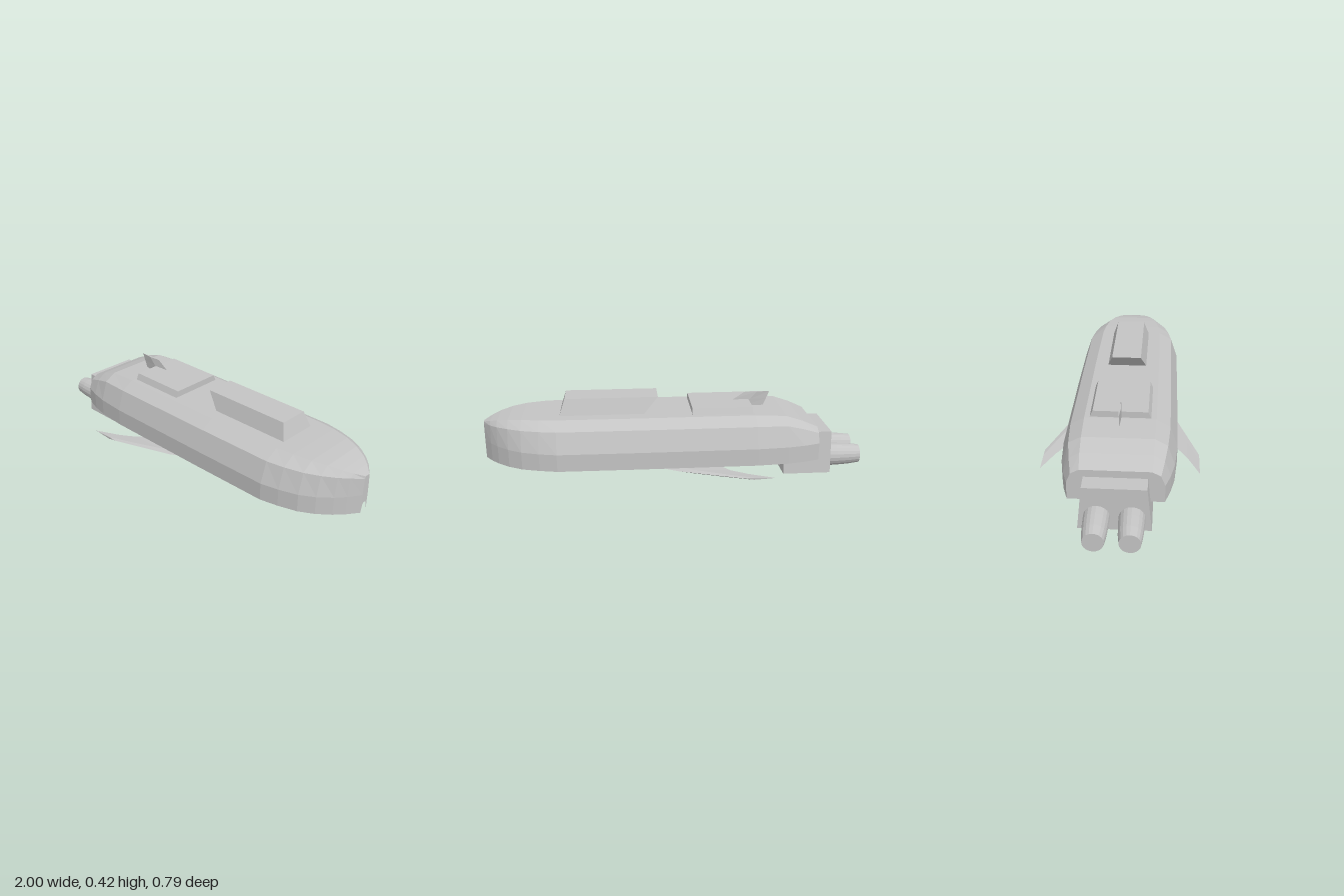
import * as THREE from 'three';

const grey = new THREE.MeshStandardMaterial({ color: 0xc4c4c4, side: THREE.DoubleSide, flatShading: true });
grey.name = 'hull grey';

function addMesh(group, name, geometry) {
  const mesh = new THREE.Mesh(geometry, grey);
  mesh.name = name;
  group.add(mesh);
  return mesh;
}

// Skins a row of equal-length sections; a solid joins each ring and caps both ends
function loft(sections, solid) {
  const n = sections[0].length, last = (sections.length - 1) * n, index = [];
  for (let i = 0; i < sections.length - 1; i++) {
    for (let j = 0; j < (solid ? n : n - 1); j++) {
      const a = i * n + j, b = i * n + (j + 1) % n, c = a + n, d = b + n;
      index.push(a, c, b, b, c, d);
    }
  }
  for (let j = 1; solid && j < n - 1; j++) index.push(0, j, j + 1, last, last + j + 1, last + j);
  const geometry = new THREE.BufferGeometry();
  geometry.setAttribute('position', new THREE.Float32BufferAttribute(sections.flat(2), 3));
  geometry.setIndex(index);
  const flat = geometry.toNonIndexed();
  flat.computeVertexNormals();
  return flat;
}

// Block between two rectangles: [xBack, xFront, halfZ, y]
function taperedBlock(lower, upper) {
  const ring = ([x0, x1, z, y]) => [[x0, y, -z], [x1, y, -z], [x1, y, z], [x0, y, z]];
  return loft([ring(lower), ring(upper)], true);
}

// Hull section: lower edge, knee, shoulder, roof edge, then mirrored
const kneeY = 0.19;
function hullSection([x, w, m, t, yShoulder, yTop, yBottom]) {
  const half = [[w, yBottom], [w, kneeY], [m, yShoulder], [t, yTop]];
  return [
    ...half.map(([z, y]) => [x, y, z]),
    ...half.slice().reverse().map(([z, y]) => [x, y, -z]),
  ];
}

export function createModel() {
  const model = new THREE.Group();
  model.name = 'spaceship';

  // Hull skin, narrowing to the nose; its walls form a skirt below the floor
  const stations = [
    [-0.74, 0.225, 0.205, 0.165, 0.24, 0.262, 0.1],
    [-0.66, 0.25, 0.22, 0.17, 0.268, 0.298, 0.1],
    [-0.57, 0.268, 0.233, 0.172, 0.293, 0.328, 0.1],
    [-0.41, 0.28, 0.243, 0.175, 0.297, 0.337, 0.1],
    [0.2, 0.28, 0.243, 0.175, 0.297, 0.337, 0.1],
    [0.61, 0.276, 0.24, 0.17, 0.297, 0.337, 0.1],
    [0.7, 0.256, 0.224, 0.16, 0.297, 0.337, 0.1],
    [0.79, 0.225, 0.197, 0.142, 0.296, 0.334, 0.098],
    [0.86, 0.183, 0.16, 0.115, 0.294, 0.328, 0.097],
    [0.92, 0.13, 0.115, 0.085, 0.29, 0.316, 0.095],
    [0.96, 0.083, 0.074, 0.055, 0.286, 0.304, 0.093],
    [1.0, 0.022, 0.018, 0.014, 0.275, 0.288, 0.09],
  ];
  addMesh(model, 'hull', loft(stations.map(hullSection), false));
  addMesh(model, 'floor', loft(stations.map(([x, w]) => [[x, kneeY, -w], [x, kneeY, w]]), false));

  // Flat end plates; the nose plate has a small arch cut from its foot
  const endPlate = (name, station, arch) => {
    const points = [...hullSection(station).map(([, y, z]) => [-z, y]), ...arch];
    const shape = new THREE.Shape(points.map(([x, y]) => new THREE.Vector2(x, y)));
    const plate = addMesh(model, name, new THREE.ShapeGeometry(shape));
    plate.rotation.y = Math.PI / 2;
    plate.position.x = station[0];
  };
  endPlate('sternPlate', stations[0], []);
  endPlate('nosePlate', stations[stations.length - 1], [[0.014, 0.132], [0.009, 0.14], [-0.009, 0.14], [-0.014, 0.132]]);

  // Superstructure and engine housing
  addMesh(model, 'bridge', taperedBlock([0.165, 0.6, 0.105, 0.335], [0.09, 0.572, 0.077, 0.419]));
  addMesh(model, 'roofPod', taperedBlock([-0.4, -0.085, 0.15, 0.335], [-0.4, -0.085, 0.135, 0.37]));
  addMesh(model, 'engineHousing', taperedBlock([-0.825, -0.572, 0.17, 0], [-0.825, -0.572, 0.147, 0.225]));

  // Twin engines
  for (const side of [1, -1]) {
    const profile = [[0, 0], [0.061, 0], [0.06, 0.05], [0.056, 0.12], [0.049, 0.175], [0, 0.175]];
    const engine = addMesh(model, side > 0 ? 'leftEngine' : 'rightEngine',
      new THREE.LatheGeometry(profile.map(([r, y]) => new THREE.Vector2(r, y)), 20));
    engine.rotation.z = Math.PI / 2;
    engine.position.set(-0.825, 0.069, side * 0.08);
  }

  // Swept wings with a ridge above and a keel below: [z, xTrailing, xLeading]
  const spans = [
    [0.085, -0.17, 0.28], [0.15, -0.185, 0.22], [0.21, -0.21, 0.135],
    [0.283, -0.265, 0], [0.335, -0.35, -0.15], [0.393, -0.48, -0.32],
  ];
  for (const side of [1, -1]) {
    const sections = spans.map(([z, x0, x1]) => {
      const s = (z - 0.085) / 0.308, ridge = x1 - 0.3 * (x1 - x0);
      const ring = [
        [x0, 0.086 - 0.007 * s, side * z],
        [ridge, 0.1 - 0.016 * s, side * z],
        [x1, 0.09 - 0.008 * s, side * z],
        [ridge, 0.066 + 0.007 * s, side * z],
      ];
      return side > 0 ? ring : ring.reverse();
    });
    addMesh(model, side > 0 ? 'leftWing' : 'rightWing', loft(sections, true));
  }

  // Swept tail fin, diamond in section: [y, xBack, xFront]
  const finRows = [[0.335, -0.48, -0.27], [0.372, -0.496, -0.32], [0.412, -0.512, -0.38]];
  addMesh(model, 'tailFin', loft(finRows.map(([y, x0, x1]) => {
    const mid = (x0 + x1) / 2;
    return [[x0, y, 0], [mid, y, -0.006], [x1, y, 0], [mid, y, 0.006]];
  }), true));

  return model;
}
